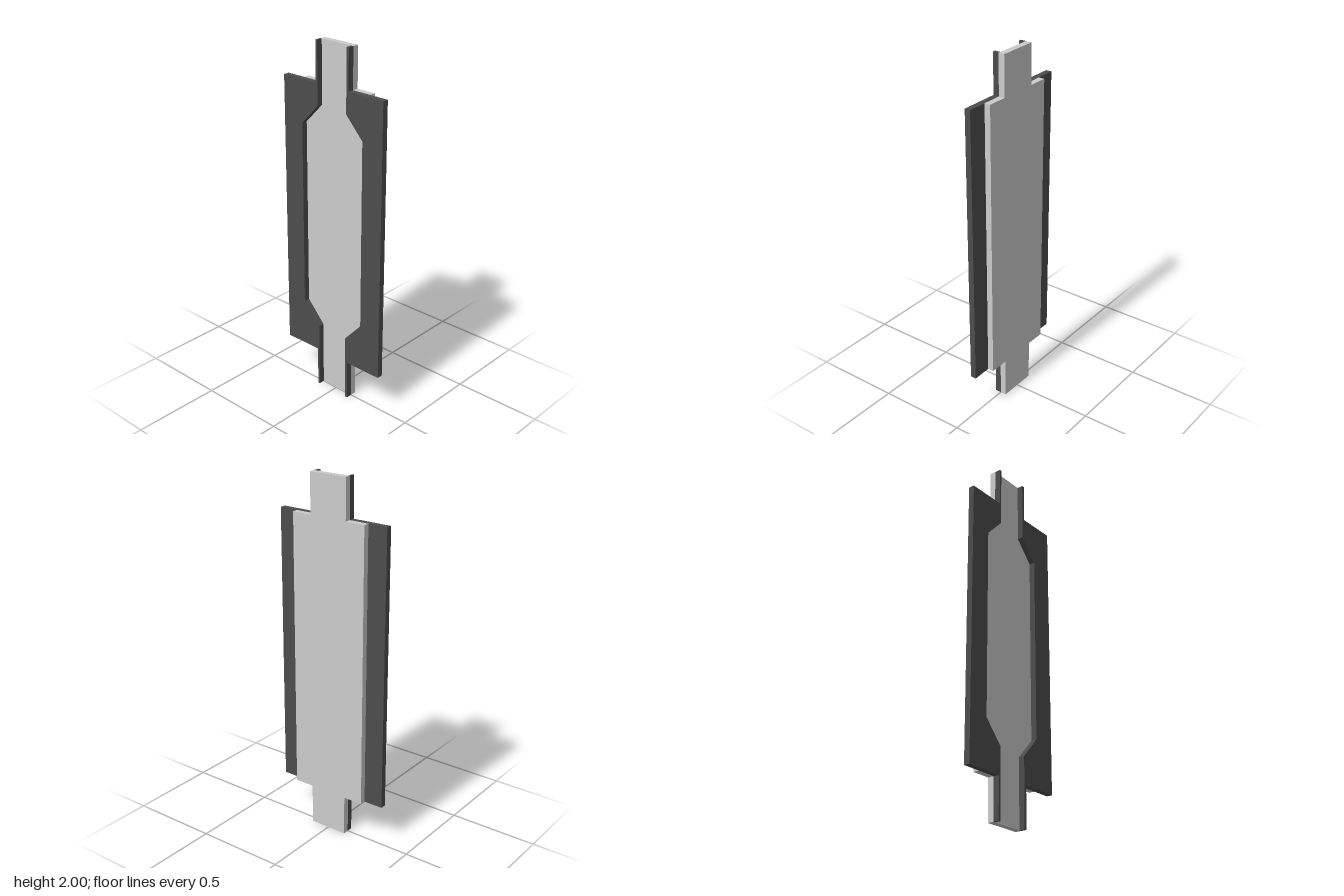
import * as THREE from 'three';

// Flat plate cut from an outline, spanning z0 to z1
function plate(name, points, z0, z1, color) {
  const shape = new THREE.Shape(points.map(([x, y]) => new THREE.Vector2(x, y)));
  const geometry = new THREE.ExtrudeGeometry(shape, { depth: z1 - z0, bevelEnabled: false });
  geometry.translate(0, 0, z0);
  const mesh = new THREE.Mesh(geometry, new THREE.MeshStandardMaterial({ color }));
  mesh.name = name;
  return mesh;
}

export function createModel() {
  const group = new THREE.Group();
  group.name = 'panel';
  const low = 0.227, high = 1.78, neck = 0.11, wide = 0.222;

  // Back plate: wide body with a narrow tab at each end
  const rightEdge = [[neck, 0], [neck, low], [wide, low], [wide, high], [neck, high], [neck, 2]];
  const leftEdge = rightEdge.map(([x, y]) => [-x, y]).reverse();
  group.add(plate('backPlate', [...rightEdge, ...leftEdge], -0.034, 0, 0xcccccc));

  // Dark front cheeks, with chamfered recesses facing the middle
  for (const [name, side, inner, recess, outer] of [
    ['leftCheek', 1, 0.095, 0.202, 0.331],
    ['rightCheek', -1, 0.098, 0.208, 0.333],
  ]) {
    const outline = [
      [inner, 0], [neck, 0], [neck, low], [outer, low], [outer, high], [neck, high], [neck, 2],
      [inner, 2], [inner, 1.66], [recess, 1.545], [recess, 0.497], [inner, 0.378],
    ].map(([x, y]) => [side * x, y]);
    group.add(plate(name, outline, 0, 0.033, 0x4d4d4d));
  }
  return group;
}
